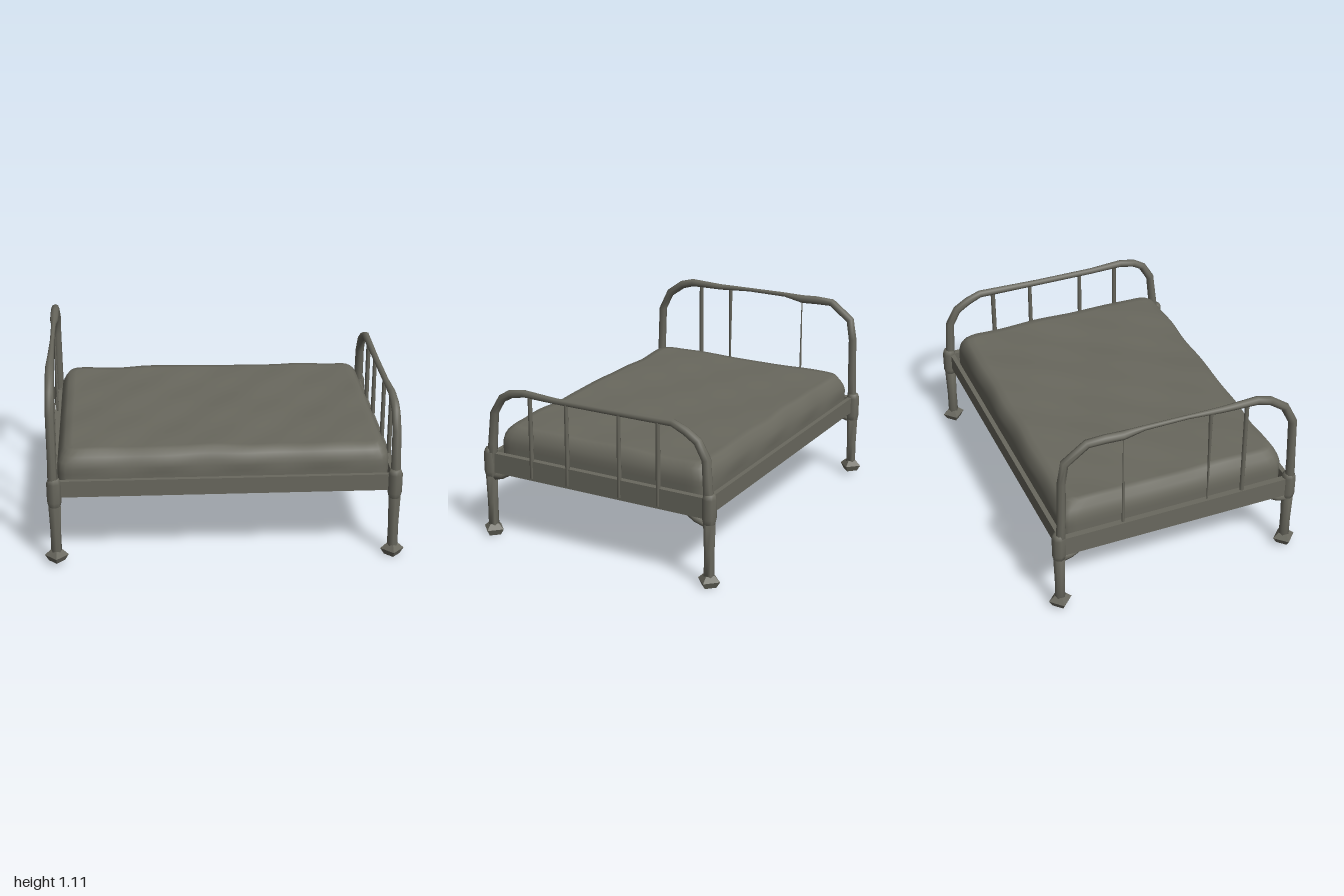
import * as THREE from 'three';
import { mergeVertices } from 'three/addons/utils/BufferGeometryUtils.js';

const metal = new THREE.MeshStandardMaterial({ color: 0x69685e });
metal.name = 'weathered grey';

// Tube with varying radius through [x, y, z, radius] points lying in a plane of constant x
function loft(points, sides = 8) {
  const p = points.map(a => new THREE.Vector3(a[0], a[1], a[2]));
  const pos = [], index = [], n = p.length;
  const side = new THREE.Vector3(1, 0, 0);
  p.forEach((c, i) => {
    const t = p[Math.min(i + 1, n - 1)].clone().sub(p[Math.max(i - 1, 0)]).normalize();
    const up = new THREE.Vector3().crossVectors(t, side).normalize();
    for (let j = 0; j < sides; j++) {
      const a = (j / sides) * Math.PI * 2, r = points[i][3];
      const v = c.clone().addScaledVector(side, Math.cos(a) * r).addScaledVector(up, Math.sin(a) * r);
      pos.push(v.x, v.y, v.z);
    }
  });
  for (let i = 0; i < n - 1; i++) for (let j = 0; j < sides; j++) {
    const a = i * sides + j, b = i * sides + (j + 1) % sides, c = a + sides, d = b + sides;
    index.push(a, b, d, a, d, c);
  }
  // end caps
  for (let j = 1; j < sides - 1; j++) {
    const e = (n - 1) * sides;
    index.push(0, j + 1, j, e, e + j, e + j + 1);
  }
  // wind every face outward
  const g = new THREE.BufferGeometry();
  g.setAttribute('position', new THREE.Float32BufferAttribute(pos, 3));
  const v = k => new THREE.Vector3().fromArray(pos, k * 3);
  const [a, b, d] = index.slice(0, 3).map(v);
  const face = new THREE.Vector3().crossVectors(b.clone().sub(a), d.clone().sub(a));
  if (face.dot(a.add(b).multiplyScalar(0.5).sub(p[0])) < 0) index.reverse();
  g.setIndex(index);
  g.computeVertexNormals();
  return g;
}

// Rounded, slightly lumpy mattress
function mattressGeometry() {
  const hx = 0.915, hz = 0.66, y0 = 0.41, y1 = 0.655;
  let g = new THREE.BoxGeometry(2 * hx, y1 - y0, 2 * hz, 44, 8, 32);
  g.deleteAttribute('normal');
  g.deleteAttribute('uv');
  g = mergeVertices(g);
  const q = g.attributes.position;
  for (let i = 0; i < q.count; i++) {
    let x = q.getX(i), z = q.getZ(i), y = q.getY(i) + (y0 + y1) / 2;
    const h = (y - y0) / (y1 - y0);
    // pull the upper and lower edges in
    const top = Math.max(0, (h - 0.6) / 0.4), low = Math.max(0, (0.15 - h) / 0.15);
    const inset = 0.045 * top * top + 0.012 * low;
    x *= (hx - inset) / hx;
    z *= (hz - inset) / hz;
    // round the corners in plan
    const r = 0.07, ix = hx - inset - r, iz = hz - inset - r;
    const ex = Math.abs(x) - ix, ez = Math.abs(z) - iz;
    if (ex > 0 && ez > 0) {
      const k = Math.max(ex, ez) / Math.hypot(ex, ez);
      x = Math.sign(x) * (ix + ex * k);
      z = Math.sign(z) * (iz + ez * k);
    }
    // soft lumps on the upper half and wavy sides
    if (h > 0.5) {
      const bump = Math.sin(x * 9 + z * 4) * 0.4 + Math.sin(z * 11 - x * 5 + 1) * 0.35 + Math.sin(x * 19 + z * 15) * 0.25;
      y += bump * 0.007 * (h - 0.5) * 2 - 0.006 * x * (h > 0.9 ? 1 : 0);
      z += Math.sign(z) * Math.sin(x * 14) * 0.004 * (Math.abs(z) > 0.55 ? 1 : 0);
    }
    q.setXYZ(i, x, y, z);
  }
  g.computeVertexNormals();
  return g;
}

export function createModel() {
  const bed = new THREE.Group();
  bed.name = 'bed';
  const add = (name, geometry, x = 0, y = 0, z = 0) => {
    const m = new THREE.Mesh(geometry, metal);
    m.name = name;
    m.position.set(x, y, z);
    bed.add(m);
    return m;
  };

  add('mattress', mattressGeometry());

  // Bent end frames, with the tall one at the head
  add('headboardTube', loft([
    [-0.94, 0.40, 0.69, 0.03], [-0.94, 0.62, 0.685, 0.025], [-0.94, 0.89, 0.675, 0.025],
    [-0.938, 1.0, 0.62, 0.025], [-0.938, 1.065, 0.53, 0.025], [-0.938, 1.088, 0.45, 0.024],
    [-0.938, 1.085, 0.25, 0.018], [-0.938, 1.093, 0.05, 0.012], [-0.938, 1.093, -0.2, 0.014],
    [-0.938, 1.08, -0.32, 0.025], [-0.938, 1.085, -0.42, 0.025], [-0.938, 1.083, -0.52, 0.024],
    [-0.938, 0.99, -0.645, 0.025], [-0.94, 0.87, -0.665, 0.025], [-0.94, 0.62, -0.67, 0.026], [-0.94, 0.40, -0.68, 0.03],
  ]));
  add('footboardTube', loft([
    [0.945, 0.40, 0.69, 0.03], [0.943, 0.56, 0.675, 0.027], [0.943, 0.74, 0.655, 0.025],
    [0.944, 0.83, 0.60, 0.024], [0.944, 0.865, 0.54, 0.024], [0.945, 0.882, 0.45, 0.022],
    [0.945, 0.873, 0.25, 0.018], [0.945, 0.873, -0.1, 0.018], [0.945, 0.878, -0.48, 0.022],
    [0.945, 0.845, -0.56, 0.024], [0.945, 0.80, -0.63, 0.025], [0.945, 0.71, -0.68, 0.026],
    [0.945, 0.55, -0.69, 0.027], [0.945, 0.40, -0.70, 0.03],
  ]));

  // Corner sockets, legs and angular feet
  const corners = [
    ['headLeft', -0.935, 0.685, 0.025], ['headRight', -0.935, -0.685, 0.025],
    ['footLeft', 0.94, 0.695, 0.005], ['footRight', 0.945, -0.70, 0.005],
  ];
  for (const [name, x, z, y] of corners) {
    add(name + 'Socket', loft([
      [x, 0.34, z, 0.028], [x, 0.39, z, 0.04], [x, 0.50, z, 0.04], [x, 0.525, z, 0.03],
    ]));
    add(name + 'Leg', loft([
      [x, y + 0.03, z, 0.03], [x, 0.2, z, 0.029], [x, 0.36, z, 0.034],
    ]));
    const foot = loft([
      [0, 0, 0, 0.045], [0, 0.035, 0, 0.066], [0, 0.065, 0, 0.034],
    ], 4).toNonIndexed();
    foot.computeVertexNormals();
    add(name + 'Foot', foot, x, y, z);
  }

  // Side and end rails
  for (const s of [1, -1]) {
    add(s > 0 ? 'leftSideRail' : 'rightSideRail', new THREE.BoxGeometry(1.88, 0.095, 0.026), 0, 0.455, s * 0.68)
      .rotation.set(0, s * -0.006, -0.004);
    add(s > 0 ? 'footRail' : 'headRail', new THREE.BoxGeometry(0.035, 0.115, 1.37), s * 0.94, 0.443, 0);
    // braces beneath the end rails
    for (const t of [1, -1]) {
      add('cornerBrace', loft([
        [s * 0.94, 0.355, t * 0.68, 0.022], [s * 0.94, 0.37, t * 0.62, 0.02], [s * 0.94, 0.41, t * 0.54, 0.014],
      ], 6));
    }
  }

  // Upright bars: [z, top, bottom, top radius, bottom radius]
  const spindles = (name, x, list) => list.forEach(([z, top, bottom, rt, rb]) =>
    add(name, new THREE.CylinderGeometry(rt, rb, top - bottom, 6), x, (top + bottom) / 2, z));
  spindles('footSpindle', 0.95, [
    [0.41, 0.88, 0.40, 0.013, 0.014], [0.175, 0.87, 0.40, 0.012, 0.014],
    [-0.155, 0.87, 0.40, 0.012, 0.014], [-0.395, 0.875, 0.40, 0.014, 0.014],
  ]);
  spindles('headSpindle', -0.94, [
    [0.39, 1.085, 0.40, 0.014, 0.014], [0.18, 1.08, 0.45, 0.013, 0.003], [-0.318, 1.07, 0.40, 0.003, 0.009],
  ]);

  return bed;
}
